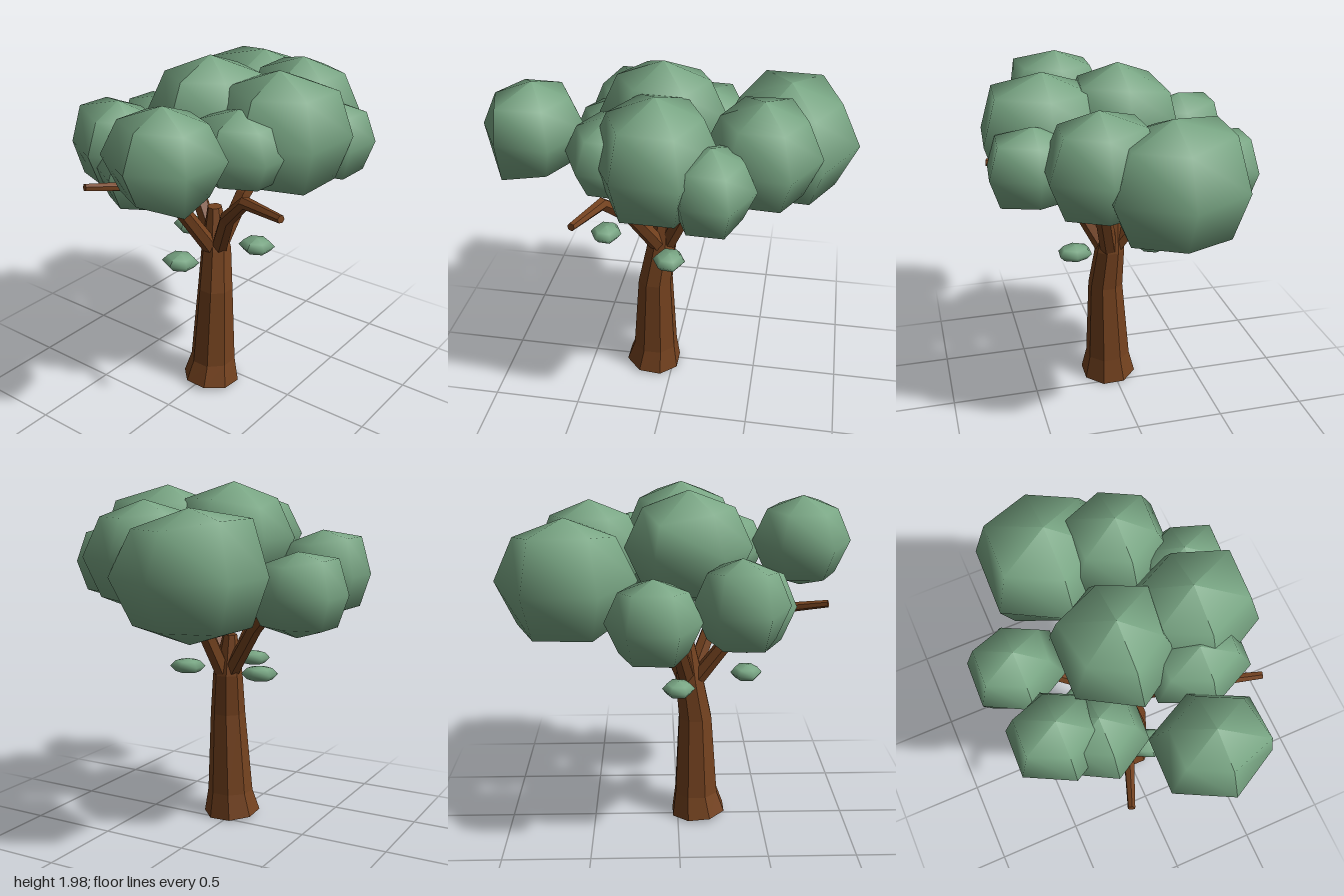
import * as THREE from 'three';

const bark = new THREE.MeshStandardMaterial({ color: 0x74421f });
bark.name = 'bark brown';
const leaf = new THREE.MeshStandardMaterial({ color: 0x78a583 });
leaf.name = 'leaf green';

// Faceted limb lofted through points [x, y, z, radius], closed at both ends
function limb(points, sides, level = false) {
  const P = points.map(p => new THREE.Vector3(p[0], p[1], p[2]));
  const up = new THREE.Vector3(0, 1, 0);
  const rings = P.map((p, i) => {
    const dir = P[Math.min(i + 1, P.length - 1)].clone().sub(P[Math.max(i - 1, 0)]).normalize();
    const q = new THREE.Quaternion().setFromUnitVectors(up, level ? up : dir);
    return Array.from({ length: sides }, (_, j) => {
      const a = (j + 0.5) / sides * Math.PI * 2;
      return new THREE.Vector3(Math.cos(a), 0, Math.sin(a)).multiplyScalar(points[i][3]).applyQuaternion(q).add(p);
    });
  });
  // slight tilt of the trunk foot
  if (level) rings[0].forEach(v => { v.y = Math.max(0, 0.008 - (v.x - 0.03) * 0.09 - (v.z - 0.1) * 0.03); });
  const pos = [];
  const tri = (...vs) => vs.forEach(v => pos.push(v.x, v.y, v.z));
  const last = rings.length - 1;
  for (let j = 0; j < sides; j++) {
    const k = (j + 1) % sides;
    for (let i = 0; i < last; i++) {
      const lo = rings[i], hi = rings[i + 1];
      tri(lo[k], lo[j], hi[j]);
      tri(lo[k], hi[j], hi[k]);
    }
    if (j > 0 && j < sides - 1) {
      tri(rings[0][0], rings[0][j], rings[0][k]);
      tri(rings[last][0], rings[last][k], rings[last][j]);
    }
  }
  const g = new THREE.BufferGeometry();
  g.setAttribute('position', new THREE.Float32BufferAttribute(pos, 3));
  g.computeVertexNormals();
  return g;
}

// Equator corners (x, z) of a six-sided ball, from -x by way of the front
const corners = [[-1, 0], [-0.5, 0.86], [0.52, 0.93], [1, 0], [0.52, -0.9], [-0.5, -0.93]];

// Ball with a ring above and below the equator; each bulge lists a corner,
// its ring heights above and below, and how far out the rings reach there
function clump(c, r, bulges = []) {
  const g = new THREE.SphereGeometry(1, 6, 4);
  const p = g.attributes.position;
  for (let i = 0; i < p.count; i++) {
    const row = Math.floor(i / 7), k = (i % 7) % 6;
    const [x, z] = corners[k];
    const [, high, low, reach] = bulges.find(b => b[0] === k) ?? [k, 0.7, -0.71, 0.71];
    const y = [1, high, 0, low, -1][row];
    const s = [0, reach, 1, reach, 0][row];
    p.setXYZ(i, c[0] + x * s * r[0], c[1] + y * r[1], c[2] + z * s * r[2]);
  }
  g.computeVertexNormals();
  return g;
}

const fullBack = [[4, 0.84, -0.73, 0.79], [5, 0.85, -0.74, 0.79]];
const softBack = [[4, 0.78, -0.72, 0.78], [5, 0.76, -0.72, 0.75]];
const fullFront = [[1, 0.73, -0.74, 0.8], [2, 0.72, -0.72, 0.79]];

export function createModel() {
  const tree = new THREE.Group();
  tree.name = 'tree';
  const add = (name, geometry, material) => {
    const m = new THREE.Mesh(geometry, material);
    m.name = name;
    tree.add(m);
  };

  // Trunk with flared foot and bent top
  add('trunk', limb([
    [-0.125, 0.02, 0.025, 0.167], [-0.112, 0.16, 0.03, 0.134], [-0.105, 0.64, 0.043, 0.103],
    [-0.07, 0.88, 0.025, 0.087], [-0.055, 1.12, 0.003, 0.042],
  ], 8, true), bark);

  // Branches: x, y, z, radius
  [
    [[-0.07, 0.86, 0.04, 0.05], [-0.2, 1.15, 0.2, 0.045], [-0.32, 1.34, 0.4, 0.035], [-0.41, 1.36, 0.68, 0.022]],
    [[-0.09, 0.86, 0.02, 0.05], [-0.37, 1.25, -0.03, 0.042], [-0.52, 1.36, -0.15, 0.03], [-0.8, 1.42, -0.26, 0.02]],
    [[-0.06, 0.88, 0.01, 0.05], [0.01, 1.18, -0.19, 0.045], [0.06, 1.36, -0.36, 0.035]],
    [[-0.05, 0.86, 0.03, 0.05], [0.09, 1.18, 0.1, 0.049], [0.25, 1.4, 0.17, 0.042]],
  ].forEach(b => add('branch', limb(b, 6), bark));

  // Canopy: centre, radii, bulging corners
  [
    [[-0.715, 1.66, 0.2], [0.285, 0.26, 0.3], [[1, 0.74, -0.8, 0.9]]],
    [[-0.32, 1.47, -0.455], [0.255, 0.25, 0.265], fullBack],
    [[0.135, 1.4, -0.51], [0.255, 0.23, 0.26], fullBack],
    [[0.61, 1.52, -0.13], [0.39, 0.345, 0.38], fullBack],
    [[0.495, 1.6, 0.215], [0.315, 0.3, 0.305], softBack],
    [[-0.06, 1.675, -0.02], [0.355, 0.315, 0.32], [[4, 0.55, -0.7, 0.87], [2, 0.7, -0.7, 0.78]]],
    [[-0.03, 1.64, 0.4], [0.345, 0.33, 0.37], fullFront],
    [[0.265, 1.545, 0.505], [0.235, 0.225, 0.265], fullFront],
    [[-0.28, 1.6, 0.33], [0.24, 0.215, 0.29]],
    [[-0.37, 1.4, -0.25], [0.265, 0.26, 0.26]],
  ].forEach(([c, r, bulges]) => add('foliage', clump(c, r, bulges), leaf));

  // Small leaf tufts around the upper trunk
  [[-0.4, 0.92, 0.03], [0.01, 0.92, 0.25], [0, 0.92, -0.22]]
    .forEach(c => add('leafTuft', clump(c, [0.092, 0.045, 0.1]), leaf));

  return tree;
}
